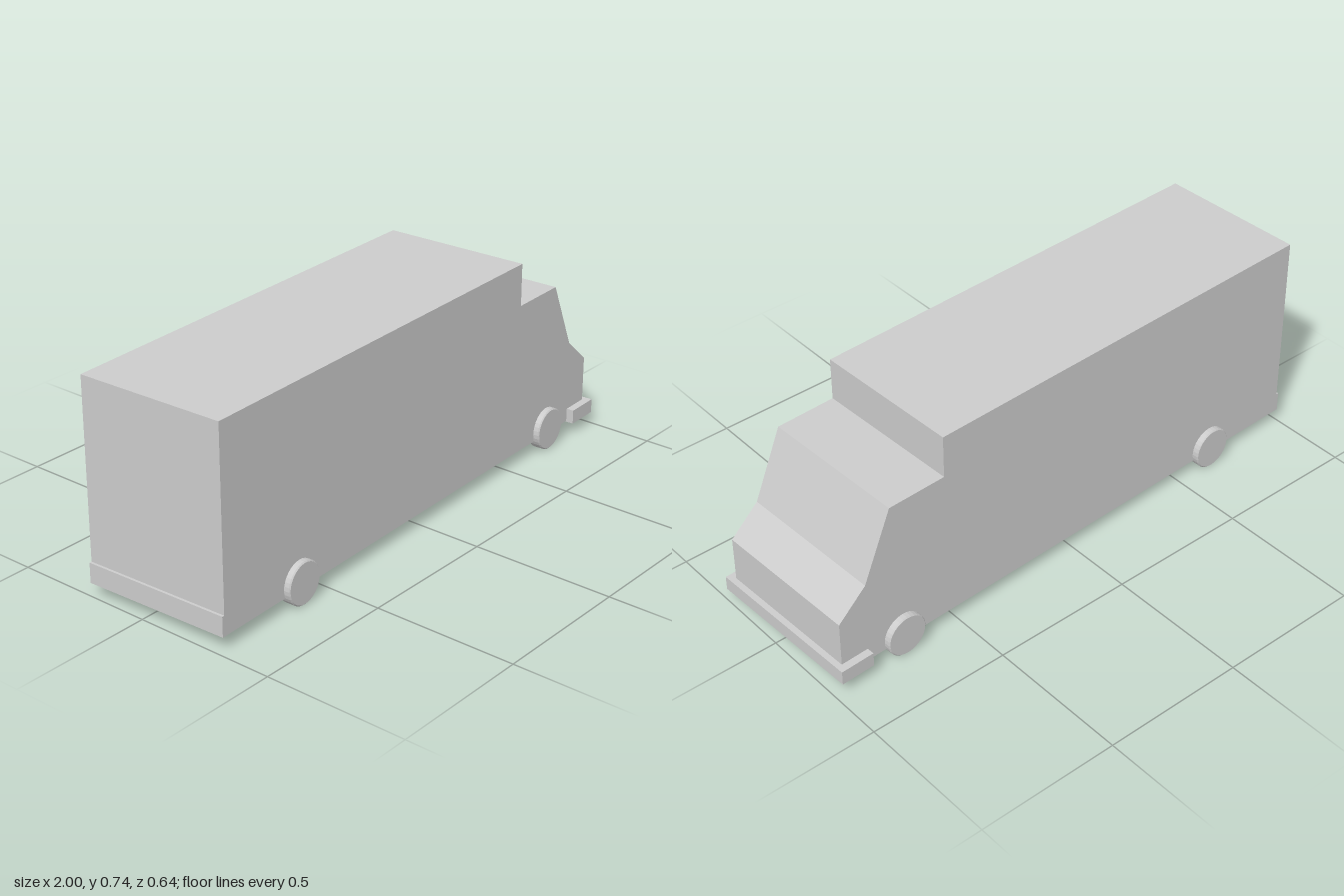
import * as THREE from 'three';

const material = new THREE.MeshStandardMaterial({ color: 0xcccccc, flatShading: true });

function addMesh(parent, name, geometry, x = 0, y = 0, z = 0) {
  const mesh = new THREE.Mesh(geometry, material);
  mesh.name = name;
  mesh.position.set(x, y, z);
  parent.add(mesh);
  return mesh;
}

export function createModel() {
  const model = new THREE.Group();
  model.name = 'van';

  // The van stands slightly turned on its base
  const van = new THREE.Group();
  van.name = 'vanAssembly';
  van.rotation.y = 0.037;
  van.position.z = 0.0095;
  model.add(van);

  // Body: side profile with raised cargo box, cab roof, windscreen and bonnet
  const width = 0.528;
  const profile = [
    [-0.981, 0.046], [0.966, 0.046], [0.966, 0.253], [0.861, 0.347],
    [0.757, 0.587], [0.544, 0.587], [0.544, 0.736], [-0.981, 0.736],
  ];
  const shape = new THREE.Shape(profile.map(([x, y]) => new THREE.Vector2(x, y)));
  const body = new THREE.ExtrudeGeometry(shape, { depth: width, bevelEnabled: false });
  addMesh(van, 'body', body, 0, 0, -width / 2);

  // Bumpers: the front one is wider than the body, the rear one a thin sill
  addMesh(van, 'frontBumper', new THREE.BoxGeometry(0.122, 0.05, 0.582), 0.926, 0.068, 0);
  addMesh(van, 'rearBumper', new THREE.BoxGeometry(0.02, 0.07, width), -0.98, 0.081, 0);

  // Wheels: discs with a small chamfer, set partly into the body
  const r = 0.074, half = 0.022, c = 0.004;
  const wheelProfile = [
    [0, -half], [r - c, -half], [r, -half + c], [r, half - c], [r - c, half], [0, half],
  ].map(([x, y]) => new THREE.Vector2(x, y));
  const wheel = new THREE.LatheGeometry(wheelProfile, 32);
  wheel.rotateX(Math.PI / 2);
  for (const [end, x] of [['front', 0.725], ['rear', -0.635]]) {
    for (const [side, s] of [['Near', 1], ['Far', -1]]) {
      addMesh(van, `${end}Wheel${side}`, wheel, x, r, s * 0.264);
    }
  }

  return model;
}
